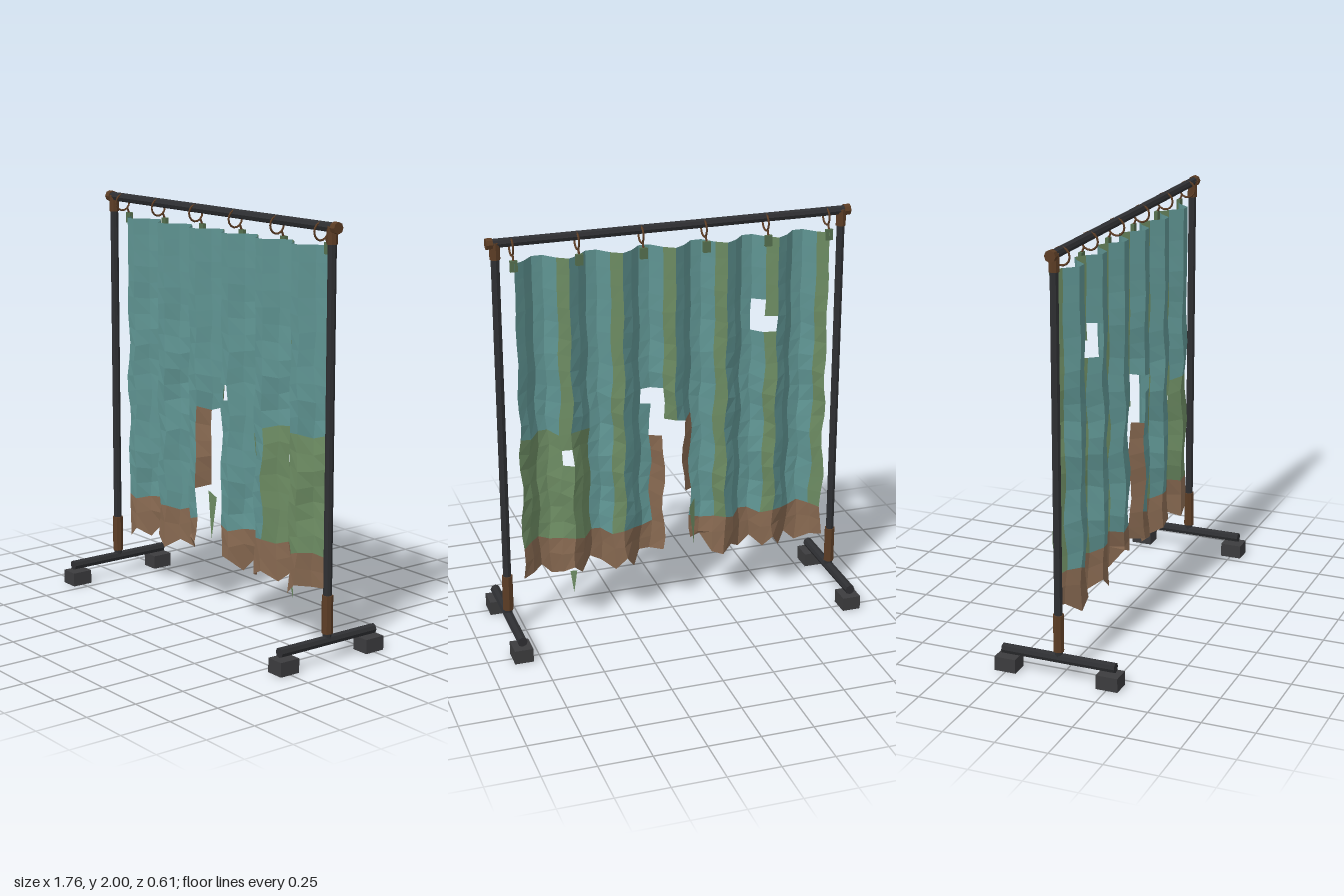
import * as THREE from 'three';

const mat = (name, color, extra = {}) => {
  const m = new THREE.MeshStandardMaterial({ color, flatShading: true, ...extra });
  m.name = name;
  return m;
};

export function createModel() {
  const root = new THREE.Group();
  root.name = 'tatteredCurtainRack';
  const two = { side: THREE.DoubleSide };
  const iron = mat('dark iron', 0x2e2f32);
  const rubber = mat('foot grey', 0x3c3c3e);
  const rust = mat('rusty metal', 0x5c3d25);
  const clipGreen = mat('clip green', 0x55704f);
  const cloth = {
    teal: mat('teal cloth', 0x5f9492, two),
    moss: mat('mossy cloth', 0x6c8b62, two),
    dirt: mat('dirty cloth', 0x866850, two),
  };

  const add = (parent, name, geo, material, x, y, z) => {
    const m = new THREE.Mesh(geo, material);
    m.name = name;
    m.position.set(x, y, z);
    parent.add(m);
    return m;
  };
  // Octagonal pipe along a chosen axis
  const pipe = (r, len, axis = 'y') => {
    const g = new THREE.CylinderGeometry(r, r, len, 8);
    if (axis === 'x') g.rotateZ(Math.PI / 2);
    if (axis === 'z') g.rotateX(Math.PI / 2);
    return g;
  };

  // Frame: top rail, posts, sleeves and feet
  add(root, 'topRail', pipe(0.022, 1.72, 'x'), iron, 0, 1.974, 0);
  for (const s of [-1, 1]) {
    const side = new THREE.Group();
    side.name = s > 0 ? 'leftStand' : 'rightStand';
    root.add(side);
    const x = s * 0.835;
    add(side, 'post', pipe(0.02, 1.86), iron, x, 1.035, 0);
    add(side, 'lowerSleeve', pipe(0.026, 0.18), rust, x, 0.222, 0);
    add(side, 'upperSleeve', pipe(0.025, 0.08), rust, x, 1.94, 0);
    add(side, 'railCap', pipe(0.027, 0.03, 'x'), rust, s * 0.861, 1.974, 0);
    add(side, 'footBar', pipe(0.024, 0.56, 'z'), iron, x, 0.098, 0);
    for (const f of [-1, 1]) {
      add(side, 'footBlock', new THREE.BoxGeometry(0.09, 0.068, 0.105), rubber, x, 0.034, f * 0.253);
    }
  }

  // Hanging rings and clips
  for (let i = 0; i < 6; i++) {
    const x = -0.76 + i * 0.304;
    const ring = new THREE.TorusGeometry(0.04, 0.005, 5, 14);
    ring.rotateY(Math.PI / 2);
    add(root, 'ring', ring, rust, x, 1.95, 0);
    add(root, 'clip', new THREE.BoxGeometry(0.034, 0.052, 0.018), clipGreen, x, 1.872, -0.04);
    const stem = add(root, 'clipStem', pipe(0.005, 0.035), rust, x, 1.905, -0.034);
    stem.rotation.x = 0.4;
  }

  // Curtain grid: six pleats of five columns, with a ragged hem
  const COLS = 30, ROWS = 20, W = 1.52 / COLS, H = 0.0785;
  const hem = [0.31, 0.31, 0.26, 0.31, 0.27, 0.335, 0.28, 0.32, 0.265, 0.31, 0.28, 0.29, 0.37, 0.35, 0.33, 0.33,
    0.34, 0.33, 0.325, 0.27, 0.335, 0.27, 0.30, 0.33, 0.28, 0.33, 0.30, 0.27, 0.32, 0.315, 0.31];
  const pleat = [-0.05, -0.017, 0.041, 0.041, -0.017];
  const point = (c, r) => {
    const t = Math.min(1, r / 10);
    const x = -0.76 + c * W + 0.008 * t * Math.sin(r * 1.5 + c * 0.9);
    const y = r === ROWS ? hem[c] : 1.885 - r * H + 0.012 * t * Math.sin(c * 2.1 + r * 0.6);
    const z = pleat[c % 5] + 0.006 * t * Math.sin(r * 1.1 + c * 1.3);
    return [x, y, z];
  };
  const torn = (c, r) =>
    (c === 5 && r === 5) || (c === 6 && (r === 4 || r === 5)) ||
    (c === 16 && r >= 9 && r < 12) || (c === 17 && r === 9) ||
    ((c === 14 || c === 15) && r >= 11) || (c === 13 && r >= 16) ||
    (c === 25 && r === 12);
  const colourOf = (c, r) => {
    if (r >= 18 || ((c === 13 || c === 16) && r >= 11)) return 'dirt';
    return c % 5 === 0 || (c >= 23 && r >= 11) ? 'moss' : 'teal';
  };
  const faces = { teal: [], moss: [], dirt: [] };
  for (let c = 0; c < COLS; c++) {
    for (let r = 0; r < ROWS; r++) {
      if (torn(c, r)) continue;
      const a = point(c, r), b = point(c, r + 1), d = point(c + 1, r + 1), e = point(c + 1, r);
      faces[colourOf(c, r)].push(...a, ...b, ...d, ...a, ...d, ...e);
    }
  }
  // Loose shreds by the tear and the hem
  faces.moss.push(-0.1, 0.6, -0.035, -0.095, 0.35, -0.05, -0.066, 0.565, -0.06);
  faces.moss.push(0.5, 0.31, -0.05, 0.52, 0.2, -0.06, 0.533, 0.31, -0.045);
  for (const key of Object.keys(faces)) {
    const g = new THREE.BufferGeometry();
    g.setAttribute('position', new THREE.Float32BufferAttribute(faces[key], 3));
    g.computeVertexNormals();
    add(root, key + 'Curtain', g, cloth[key], 0, 0, 0);
  }
  return root;
}
